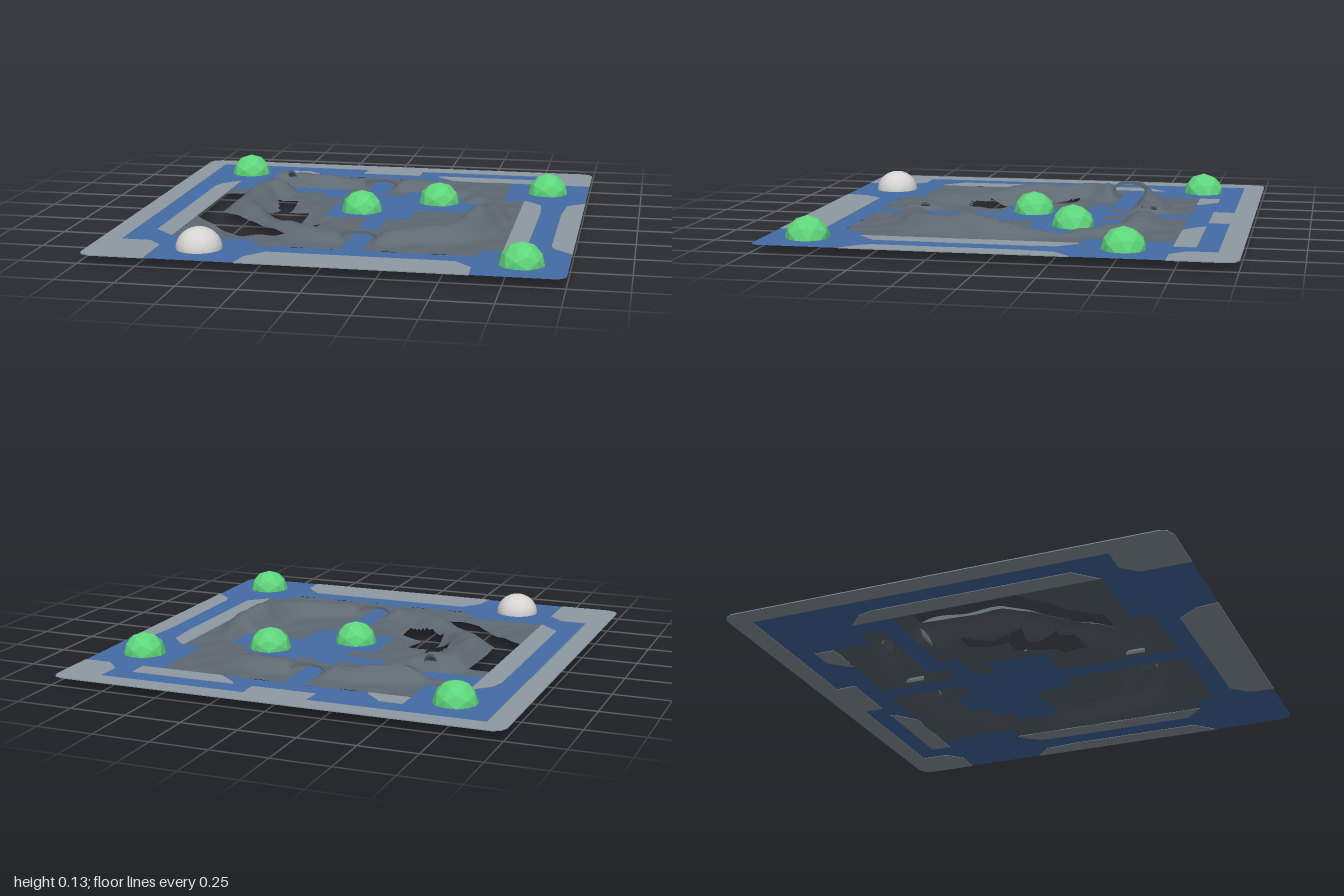
import * as THREE from 'three';

const CELL = 2 / 21, FLOOR = 0.045, HALF = 7.5 * CELL;
const mat = (name, color, side = THREE.FrontSide) =>
  Object.assign(new THREE.MeshStandardMaterial({ color, side }), { name });

// Inner map: D = rocky terrain, B = water-level floor
const MAP = [
  'BBDDDDDBDDDDDDB', 'BBDDDDDBDDDDDDB', 'BDDDDDDBDDDDDDB', 'BBBBBBDBDBBDDDB', 'DDDDDBBBBBBBDDD',
  'DDDDDDDBBBBBBDD', 'DDDDDDBBBBBBBDD', 'DDDDDDBBBBDDDDD', 'DDDDDDBBBBDDDDD', 'DDDDDDDDBDDDDDD',
  'DDDDDDDDBDDDDDD', 'DDDDDDDDBDDDDDD', 'DDDDDDDDBDDDDDD', 'DDDDDDDDBDDDDDD', 'BBBBDDDDBDDDDDB',
];
// Ridge crest: x, z, height above the floor
const CREST = [
  [0, -0.52, 0.035], [-0.2, -0.51, 0.04], [-0.33, -0.48, 0.06], [-0.44, -0.42, 0.09], [-0.45, -0.33, 0.08],
  [-0.52, -0.22, 0.06], [-0.53, 0.1, 0.055], [-0.4, 0.28, 0.045], [-0.2, 0.46, 0.04], [-0.08, 0.53, 0.035],
  [0.1, 0.53, 0.035], [0.22, 0.51, 0.04], [0.34, 0.46, 0.05], [0.46, 0.42, 0.06], [0.53, 0.32, 0.065],
  [0.56, 0.18, 0.085], [0.59, 0.07, 0.07], [0.57, -0.08, 0.03], [0.48, -0.28, 0.025], [0.36, -0.44, 0.03],
  [0.26, -0.51, 0.045], [0, -0.52, 0.035],
];
const HOLES = [
  [[-0.72, -0.238], [-0.619, -0.238], [-0.619, 0.143], [-0.238, 0.524], [-0.429, 0.524], [-0.714, 0.238]],
  [[-0.43, -0.143], [-0.333, -0.143], [-0.333, 0.048], [-0.238, 0.048], [-0.238, 0.238], [-0.143, 0.238],
    [-0.143, 0.34], [-0.238, 0.34], [-0.333, 0.27], [-0.333, 0.143], [-0.41, 0.143], [-0.39, 0]],
];
const inside = (poly, x, z) => {
  let hit = false;
  poly.forEach(([ax, az], i) => {
    const [bx, bz] = poly[(i + 1) % poly.length];
    if ((az > z) !== (bz > z) && x < ax + (z - az) * (bx - ax) / (bz - az)) hit = !hit;
  });
  return hit;
};

// Distance from a point to the nearest floor cell
const floorCells = [];
MAP.forEach((row, k) => [...row].forEach((c, i) => {
  if (c === 'B') floorCells.push([(i - 7) * CELL, (k - 7) * CELL]);
}));
const floorDistance = (x, z) => Math.min(...floorCells.map(([cx, cz]) => Math.hypot(
  Math.max(Math.abs(x - cx) - CELL / 2, 0), Math.max(Math.abs(z - cz) - CELL / 2, 0))));

function height(x, z) {
  let ridge = 0;
  for (let i = 0; i + 1 < CREST.length; i++) {
    const [ax, az, ah] = CREST[i], [bx, bz, bh] = CREST[i + 1];
    const dx = bx - ax, dz = bz - az;
    const t = THREE.MathUtils.clamp(((x - ax) * dx + (z - az) * dz) / (dx * dx + dz * dz), 0, 1);
    const d = Math.hypot(x - ax - t * dx, z - az - t * dz);
    ridge = Math.max(ridge, (ah + (bh - ah) * t) * (1 - THREE.MathUtils.smoothstep(d, 0.015, 0.115)));
  }
  const dip = (cx, cz, r, depth) => depth * Math.exp(-((x - cx) ** 2 + (z - cz) ** 2) / (r * r));
  const sag = dip(-0.28, 0.22, 0.14, 0.04) + dip(-0.38, -0.02, 0.1, 0.02) + dip(-0.68, 0, 0.15, 0.015)
    + dip(-0.5, 0.42, 0.15, 0.02);
  const fade = THREE.MathUtils.smoothstep(floorDistance(x, z), 0, 0.055);
  return Math.max(0, FLOOR + (ridge - sag + 0.004 * Math.sin(x * 31) * Math.sin(z * 27)) * fade);
}

// Grid surface over all cells of one kind, leaving out triangles inside the holes
function cellSurface(kind, sub, heightAt, holes) {
  const n = 15 * sub, step = CELL / sub, pos = [], index = [];
  for (let k = 0; k <= n; k++) for (let i = 0; i <= n; i++) {
    const x = i * step - HALF, z = k * step - HALF;
    pos.push(x, heightAt(x, z), z);
  }
  const add = (...t) => {
    const cx = t.reduce((s, v) => s + pos[v * 3], 0) / 3, cz = t.reduce((s, v) => s + pos[v * 3 + 2], 0) / 3;
    if (!holes.some(h => inside(h, cx, cz))) index.push(...t);
  };
  for (let k = 0; k < n; k++) for (let i = 0; i < n; i++) {
    if (MAP[Math.floor(k / sub)][Math.floor(i / sub)] !== kind) continue;
    const a = k * (n + 1) + i, b = a + 1, c = a + n + 1, d = c + 1;
    add(a, c, d);
    add(a, d, b);
  }
  const g = new THREE.BufferGeometry();
  g.setAttribute('position', new THREE.Float32BufferAttribute(pos, 3));
  g.setIndex(index);
  g.computeVertexNormals();
  return g;
}

export function createModel() {
  const group = new THREE.Group();
  const water = mat('floor blue', 0x446ca5, THREE.DoubleSide);
  const rock = mat('rock grey', 0x5f6972, THREE.DoubleSide);
  const paving = mat('border grey', 0x8f99a3);
  const green = mat('dome green', 0x5fd67c);
  const white = mat('dome white', 0xd6d4d1);
  const add = (name, geometry, material, x = 0, y = 0, z = 0) => {
    const m = new THREE.Mesh(geometry, material);
    m.name = name;
    m.position.set(x, y, z);
    group.add(m);
    return m;
  };
  const shapeOf = pts => new THREE.Shape(pts.map(([x, z]) => new THREE.Vector2(x, -z)));

  // Outer floor with rounded corners, open in the middle
  const r = 0.05, outer = new THREE.Shape();
  [[1, 1, 0], [-1, 1, 1], [-1, -1, 2], [1, -1, 3]].forEach(([sx, sy, q]) =>
    outer.absarc(sx * (1 - r), sy * (1 - r), r, q * Math.PI / 2, (q + 1) * Math.PI / 2, false));
  outer.holes.push(shapeOf([[-HALF, -HALF], [HALF, -HALF], [HALF, HALF], [-HALF, HALF]]));
  add('outerFloor', new THREE.ShapeGeometry(outer).rotateX(-Math.PI / 2), water, 0, FLOOR);
  add('innerFloor', cellSurface('B', 1, () => FLOOR, []), water);
  add('rockTerrain', cellSurface('D', 5, height, HOLES), rock);

  // Paved border pieces, thin plates around the floor sheet
  const plates = {
    backLeftBorder: [[-1, 0.95], [-1, -0.95], [-0.985, -0.985], [-0.95, -1], [0.95, -1], [0.985, -0.985], [1, -0.95],
      [1, -0.714], [0.88, -0.714], [0.81, -0.78], [0.81, -0.905], [0.14, -0.905], [0.145, -0.84], [0.14, -0.81],
      [-0.145, -0.81], [-0.145, -0.84], [-0.14, -0.905], [-0.905, -0.905], [-0.905, 0.714], [-0.78, 0.714],
      [-0.714, 0.78], [-0.714, 1], [-0.95, 1], [-0.985, 0.985]],
    frontBorder: [[-0.333, 1], [-0.32, 0.9], [-0.25, 0.81], [0.54, 0.81], [0.615, 0.89], [0.62, 1]],
    rightBorder: [[1, -0.333], [0.92, -0.26], [0.905, -0.1], [0.905, 0.5], [0.92, 0.54], [1, 0.615]],
    rightInnerPaving: [[0.714, -0.333], [0.74, -0.32], [0.8, -0.25], [0.81, -0.1], [0.805, 0.53], [0.714, 0.615]],
    leftInnerPaving: [[-0.714, -0.524], [-0.79, -0.45], [-0.81, -0.38], [-0.81, 0.52], [-0.714, 0.615]],
    backLeftPaving: [[-0.524, -0.81], [-0.42, -0.81], [-0.34, -0.73], [-0.34, -0.714], [-0.524, -0.714]],
    backRightPaving: [[0.23, -0.81], [0.714, -0.81], [0.714, -0.714], [0.33, -0.714], [0.25, -0.78]],
  };
  for (const [name, pts] of Object.entries(plates)) {
    const g = new THREE.ExtrudeGeometry(shapeOf(pts), { depth: 0.004, bevelEnabled: false });
    add(name, g.rotateX(-Math.PI / 2), paving, 0, FLOOR - 0.002);
  }

  // Rock arches over the paths, narrow in the middle
  const arch = (name, x, z, length, width, rise, turn) => {
    const g = new THREE.BoxGeometry(length, 0.012, width, 12, 1, 2), p = g.attributes.position;
    for (let i = 0; i < p.count; i++) {
      const u = p.getX(i) / (length / 2);
      p.setZ(i, p.getZ(i) * (0.4 + 0.6 * u * u));
      p.setY(i, p.getY(i) + rise * (1 - u ** 4));
    }
    g.computeVertexNormals();
    add(name, g, rock, x, FLOOR, z).rotation.y = turn;
  };
  arch('backArch', 0, -0.52, 0.19, 0.09, 0.035, 0);
  arch('frontArch', CELL, 0.525, 0.19, 0.09, 0.035, 0);
  arch('leftArch', -0.455, -0.385, 0.2, 0.1, 0.08, Math.PI / 2);

  // Faceted green half domes and one smooth white one
  const dome = new THREE.IcosahedronGeometry(0.095, 1), p = dome.attributes.position;
  for (let i = 0; i < p.count; i++) p.setY(i, Math.max(p.getY(i), 0));
  dome.computeVertexNormals();
  [[-0.714, -0.714], [0.81, -0.524], [0.324, -0.235], [0, 0], [0.81, 0.81]].forEach(([x, z]) =>
    add('greenDome', dome, green, x, FLOOR + 0.002, z).rotation.y = 0.35);
  add('whiteDome', new THREE.SphereGeometry(0.098, 32, 12, 0, Math.PI * 2, 0, Math.PI / 2).scale(1, 0.93, 1),
    white, -0.535, FLOOR + 0.002, 0.805);
  return group;
}
